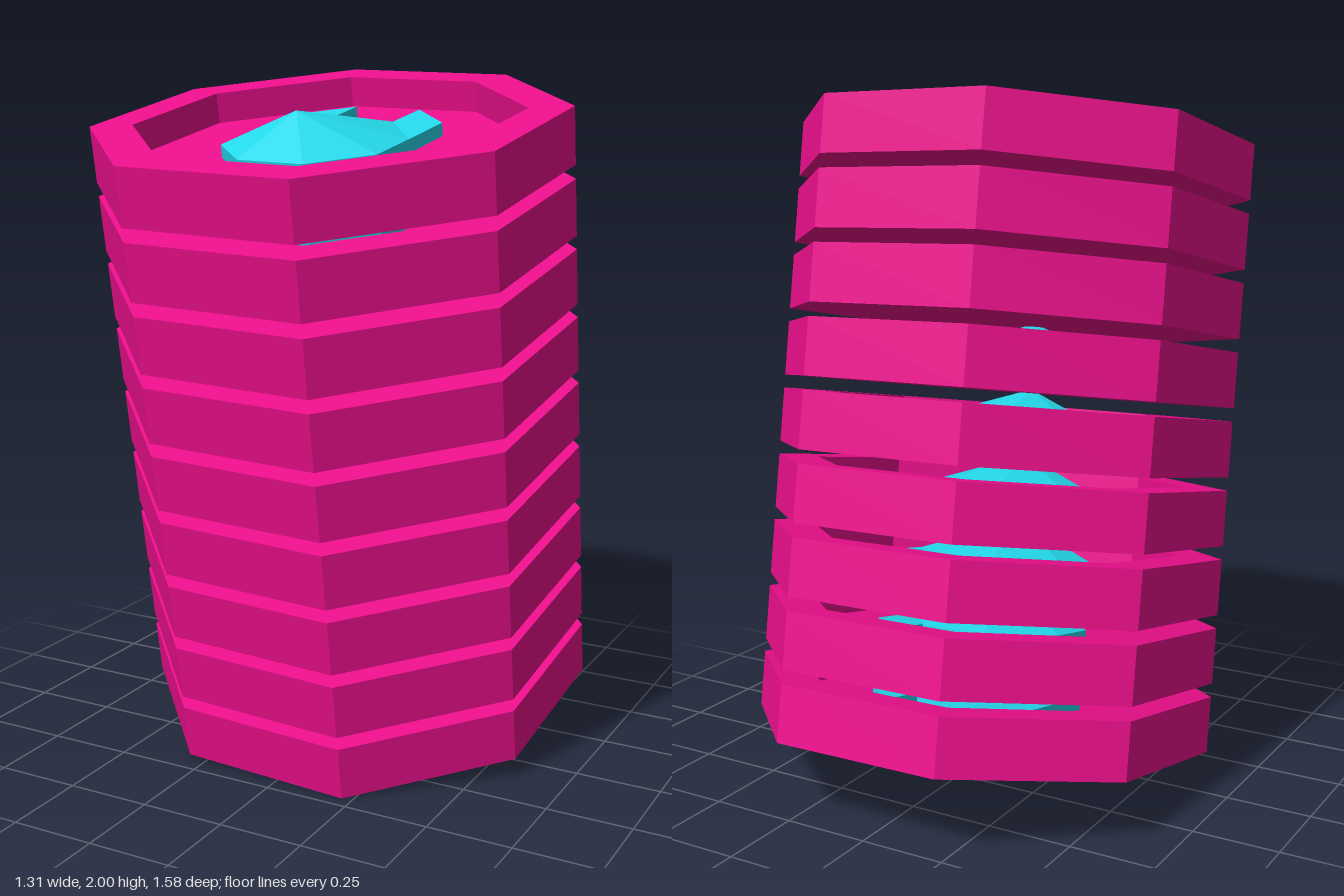
import * as THREE from 'three';

const COUNT = 9, STEP = 0.2024;            // coins and their spacing along the axis
const R = 0.68, RIM = 0.555, H = 0.163, DEPTH = 0.09;

const coinMat = new THREE.MeshStandardMaterial({ color: 0xec0f8c, flatShading: true });
const gemMat = new THREE.MeshStandardMaterial({ color: 0x24d8ea, flatShading: true });

// Octagonal disc with a raised rim around a recessed floor
function coinGeometry() {
  const profile = [[0, 0], [R, 0], [R, H], [RIM, H], [RIM, H - DEPTH], [0, H - DEPTH]]
    .map(([x, y]) => new THREE.Vector2(x, y));
  const geo = new THREE.LatheGeometry(profile, 8, Math.PI / 8).toNonIndexed();
  geo.computeVertexNormals();
  return geo;
}

// Faceted emblem: low wall, off-centre peak, two flat prongs beside a notch
function emblemGeometry() {
  const wall = 0.038;
  // right half of the outline, front to back: front, side, mid, corner, tip, notch
  const half = [[0.103, 0.31], [0.247, 0.17], [0.25, -0.005], [0.25, -0.208], [0.105, -0.35], [0.103, -0.19]];
  const outline = [...half, ...half.map(([x, z]) => [-x, z]).reverse()];
  const n = outline.length;
  const low = outline.map(([x, z]) => [x, 0, z]);
  const high = outline.map(([x, z]) => [x, wall, z]);
  const peak = [0, 0.141, 0.157];
  const pos = [];
  const tri = (a, b, c) => pos.push(...a, ...b, ...c);

  // side wall
  for (let i = 0; i < n; i++) {
    const j = (i + 1) % n;
    tri(low[i], low[j], high[j]);
    tri(low[i], high[j], high[i]);
  }
  // facets rising to the peak
  const ring = [0, 1, 2, 5, 6, 9, 10, 11];
  ring.forEach((a, i) => tri(high[a], high[ring[(i + 1) % ring.length]], peak));
  // flat prongs
  for (const [a, b, c] of [[2, 3, 4], [2, 4, 5], [9, 6, 7], [9, 7, 8]]) tri(high[a], high[b], high[c]);

  const geo = new THREE.BufferGeometry();
  geo.setAttribute('position', new THREE.Float32BufferAttribute(pos, 3));
  geo.computeVertexNormals();
  return geo;
}

export function createModel() {
  const model = new THREE.Group();
  model.name = 'coinStack';

  // whole stack leans forward with a slight twist
  const stack = new THREE.Group();
  stack.name = 'leaningStack';
  stack.rotation.set(0.188, -0.036, -0.021);
  stack.position.set(-0.0175, 0.125, -0.1645);
  model.add(stack);

  const coinGeo = coinGeometry();
  const emblemGeo = emblemGeometry();
  for (let i = 0; i < COUNT; i++) {
    const coin = new THREE.Group();
    coin.name = `coin${i + 1}`;
    coin.position.y = i * STEP;
    const disc = new THREE.Mesh(coinGeo, coinMat);
    disc.name = 'disc';
    const emblem = new THREE.Mesh(emblemGeo, gemMat);
    emblem.name = 'emblem';
    emblem.position.y = H - DEPTH;
    coin.add(disc, emblem);
    stack.add(coin);
  }
  return model;
}
